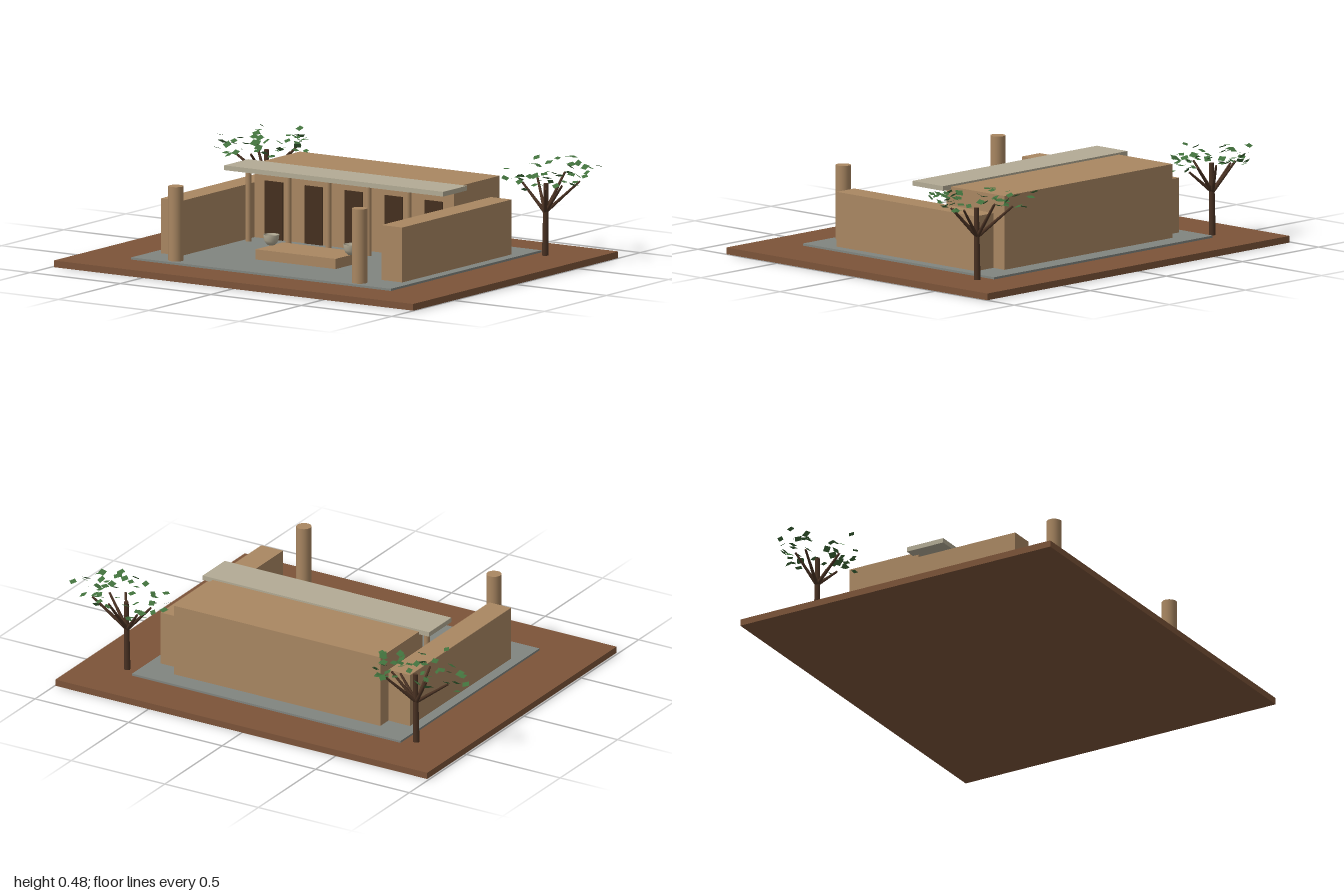
import * as THREE from 'three';

const mat = (name, color, side = THREE.FrontSide) => {
  const m = new THREE.MeshStandardMaterial({ color, side });
  m.name = name;
  return m;
};

export function createModel() {
  const root = new THREE.Group();
  root.name = 'courtyardTemple';
  const earth = mat('earth', 0x7c5439);
  const paving = mat('paving', 0x818580);
  const sandstone = mat('sandstone', 0xa98762);
  const paleStone = mat('paleStone', 0xb3ab95, THREE.DoubleSide);
  const doorWood = mat('doorWood', 0x45301f);
  const bark = mat('bark', 0x4a3223);
  const leafGreen = mat('leafGreen', 0x41703c, THREE.DoubleSide);

  const add = (parent, name, geometry, material) => {
    const mesh = new THREE.Mesh(geometry, material);
    mesh.name = name;
    parent.add(mesh);
    return mesh;
  };
  // box given by its extents
  const block = (name, x0, x1, y0, y1, z0, z1, material) => {
    const g = new THREE.BoxGeometry(x1 - x0, y1 - y0, z1 - z0);
    g.translate((x0 + x1) / 2, (y0 + y1) / 2, (z0 + z1) / 2);
    return add(root, name, g, material);
  };
  const post = (name, x, z, r, y0, y1, sides) => {
    const g = new THREE.CylinderGeometry(r, r, y1 - y0, sides);
    add(root, name, g, sandstone).position.set(x, (y0 + y1) / 2, z);
  };
  const cx = 0.005; // centre line of the buildings

  // ground and paved court
  block('ground', -0.99, 0.997, 0, 0.031, -0.827, 0.823, earth);
  block('courtPaving', -0.713, 0.723, 0.03, 0.041, -0.607, 0.603, paving);

  // main hall, side walls and porch roof
  block('mainHall', -0.547, 0.557, 0.04, 0.383, -0.513, -0.146, sandstone);
  for (const s of [-1, 1]) {
    const a = cx + s * 0.551, b = cx + s * 0.667;
    block('sideWall', Math.min(a, b), Math.max(a, b), 0.04, 0.295, -0.442, 0.438, sandstone);
  }
  block('porchRoof', -0.601, 0.61, 0.37, 0.392, -0.175, 0.018, paleStone);

  // doors with a porch post beside each one
  for (let i = -2; i <= 2; i++) {
    const x = cx + i * 0.221;
    block('door', x - 0.05, x + 0.05, 0.041, 0.31, -0.147, -0.14, doorWood);
    post('porchPost', x - 0.074, -0.048, 0.0135, 0.04, 0.371, 16);
  }

  // free-standing front columns
  for (const s of [-1, 1]) post('frontColumn', cx + s * 0.508, 0.549, 0.035, 0.04, 0.385, 24);

  // altar platform with a bowl at each end
  block('platform', -0.216, 0.226, 0.04, 0.088, 0.108, 0.326, sandstone);
  const bowlProfile = [[0, 0.088], [0.016, 0.09], [0.026, 0.099], [0.033, 0.112], [0.037, 0.138],
    [0.033, 0.138], [0.028, 0.117], [0.018, 0.106], [0, 0.101]].map(p => new THREE.Vector2(...p));
  for (const s of [-1, 1]) {
    add(root, 'bowl', new THREE.LatheGeometry(bowlProfile, 24), paleStone)
      .position.set(cx + s * 0.221, 0, 0.199);
  }

  // trees: a trunk, straight branches, and loose flat leaves around the tips
  let seed = 7;
  const rnd = () => (seed = (seed * 16807) % 2147483647) / 2147483647;
  const limb = (parent, name, from, to, r0, r1) => {
    const dir = to.clone().sub(from);
    const mesh = add(parent, name, new THREE.CylinderGeometry(r1, r0, dir.length(), 8), bark);
    mesh.position.copy(from).addScaledVector(dir, 0.5);
    mesh.quaternion.setFromUnitVectors(new THREE.Vector3(0, 1, 0), dir.normalize());
  };
  const leafGeometry = new THREE.CircleGeometry(0.021, 4);
  leafGeometry.rotateX(-Math.PI / 2);

  const tree = (name, x, z, tips, outer) => {
    const g = new THREE.Group();
    g.name = name;
    g.position.set(x, 0, z);
    limb(g, 'trunk', new THREE.Vector3(0, 0.03, 0), new THREE.Vector3(0.005, 0.365, 0), 0.015, 0.011);
    const leaf = (px, py, pz) => {
      const m = add(g, 'leaf', leafGeometry, leafGreen);
      m.position.set(px, py, pz);
      m.rotation.set((rnd() - 0.5) * 1.1, rnd() * Math.PI, (rnd() - 0.5) * 1.1);
      m.scale.setScalar(0.75 + rnd() * 0.35);
    };
    for (const [tx, ty, tz] of tips) {
      limb(g, 'branch', new THREE.Vector3(0, 0.23, 0), new THREE.Vector3(tx, ty, tz), 0.009, 0.005);
      for (let i = 0; i < 7; i++) {
        leaf(tx * 1.2 + (rnd() - 0.5) * 0.13, ty + 0.035 + (rnd() - 0.5) * 0.085,
          tz * 1.2 + (rnd() - 0.5) * 0.13);
      }
    }
    for (const p of outer) leaf(...p);
    root.add(g);
  };
  tree('rightTree', -0.765, -0.555,
    [[-0.15, 0.34, 0.03], [0.1, 0.38, -0.12], [0.12, 0.36, -0.02], [0.11, 0.33, 0.04],
      [0.0, 0.36, 0.12], [-0.09, 0.37, -0.06]],
    [[-0.215, 0.33, 0.005], [0.2, 0.36, -0.03], [0.02, 0.41, -0.155], [-0.08, 0.36, 0.18],
      [0.15, 0.33, 0.11], [-0.12, 0.41, -0.11]]);
  tree('leftTree', 0.78, -0.555,
    [[-0.12, 0.37, -0.11], [0.15, 0.38, -0.06], [0.12, 0.37, 0.04], [0.07, 0.36, 0.1],
      [-0.12, 0.36, 0.01], [0.02, 0.4, -0.13]],
    [[-0.18, 0.38, 0.06], [0.03, 0.37, 0.21], [0.14, 0.41, 0.16], [0.16, 0.4, 0.08],
      [-0.09, 0.43, -0.16], [0.14, 0.43, -0.155]]);

  return root;
}
